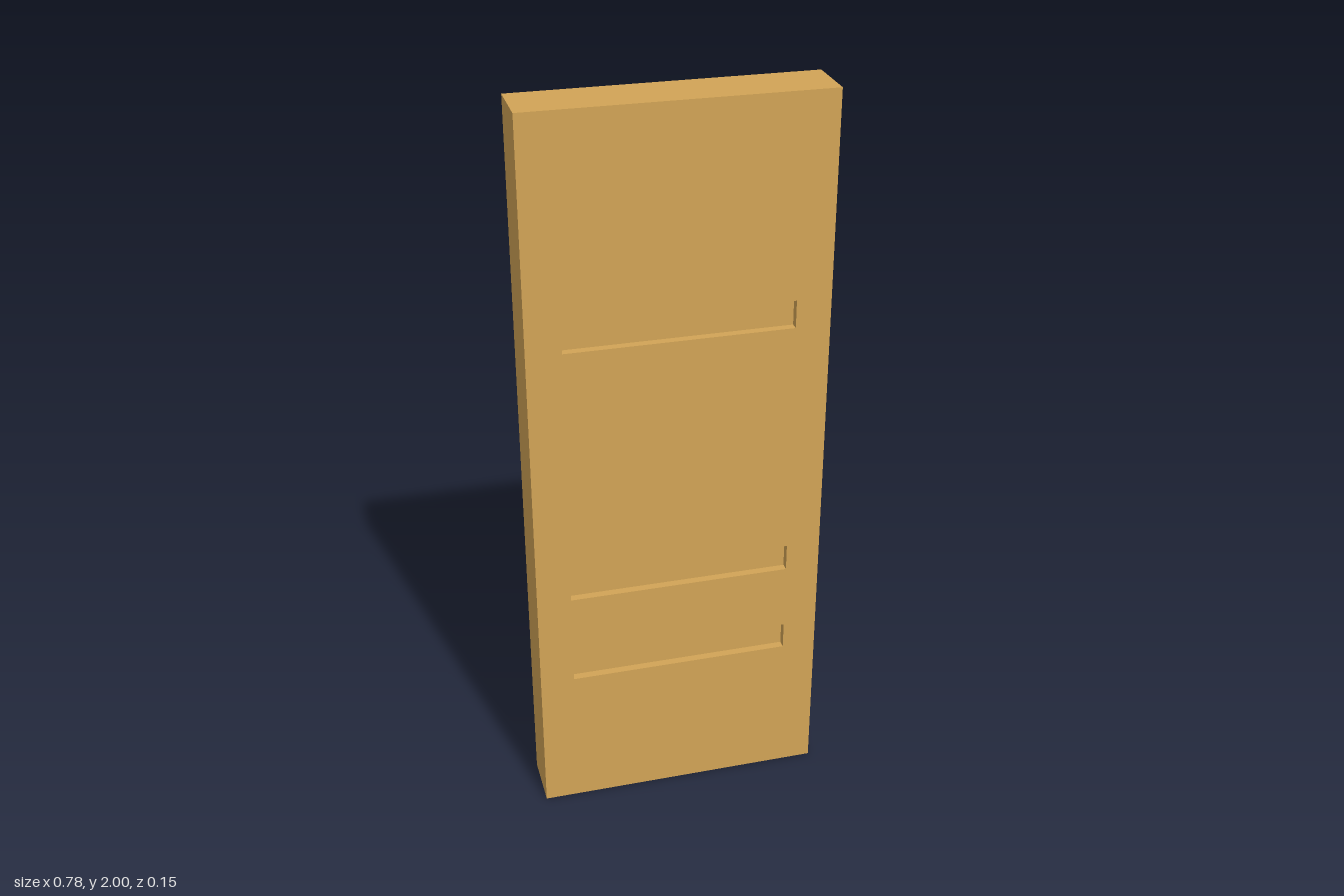
import * as THREE from 'three';

const W = 0.784, H = 2, D = 0.153;            // door leaf
const SLOT_W = 0.6, SLOT_H = 0.075;           // horizontal grooves
const SLOTS = [0.443, 0.703, 1.428];          // groove centre heights
const RECESS = { bottom: 0.1, top: 1.9, z: -0.064 };
const SLOT_DEPTH = 0.022;

const material = new THREE.MeshStandardMaterial({ color: 0xd2a456, side: THREE.DoubleSide });

// Box without the listed sides (+x, -x, +y, -y, +z, -z are 0 to 5)
function openBox(w, h, d, missing) {
  const geo = new THREE.BoxGeometry(w, h, d);
  const index = Array.from(geo.index.array);
  geo.setIndex(index.filter((_, i) => !missing.includes(Math.floor(i / 6))));
  geo.clearGroups();
  return geo;
}

// Flat sheet facing +z, with rectangular holes given as [bottom, top]
function sheet(holes) {
  const rect = (target, w, y0, y1) => {
    target.moveTo(-w / 2, y0);
    target.lineTo(w / 2, y0);
    target.lineTo(w / 2, y1);
    target.lineTo(-w / 2, y1);
    target.closePath();
    return target;
  };
  const shape = rect(new THREE.Shape(), W, 0, H);
  for (const [y0, y1] of holes) shape.holes.push(rect(new THREE.Path(), SLOT_W, y0, y1));
  return new THREE.ShapeGeometry(shape);
}

export function createModel() {
  const door = new THREE.Group();
  door.name = 'door';

  function add(name, geometry, y, z, turned = false) {
    const mesh = new THREE.Mesh(geometry, material);
    mesh.name = name;
    mesh.position.set(0, y, z);
    if (turned) mesh.rotation.y = Math.PI;
    door.add(mesh);
  }

  // Top, bottom and hinge edge; the +x edge is open
  add('edgeFrame', openBox(W, H, D, [0, 4, 5]), H / 2, 0);

  // Front skin with three slots, back skin with one large opening
  add('frontPanel', sheet(SLOTS.map(y => [y - SLOT_H / 2, y + SLOT_H / 2])), 0, D / 2);
  add('backPanel', sheet([[RECESS.bottom, RECESS.top]]), 0, -D / 2, true);

  // Rim stepping in to the recessed back panel
  const rimDepth = RECESS.z + D / 2;
  add('recessRim', openBox(SLOT_W, RECESS.top - RECESS.bottom, rimDepth, [4, 5]),
    (RECESS.top + RECESS.bottom) / 2, RECESS.z - rimDepth / 2);

  // Groove trays on both sides
  for (const y of SLOTS) {
    add('frontGroove', openBox(SLOT_W, SLOT_H, SLOT_DEPTH, [4]), y, D / 2 - SLOT_DEPTH / 2);
    add('backGroove', openBox(SLOT_W, SLOT_H, SLOT_DEPTH, [5]), y, RECESS.z + SLOT_DEPTH / 2);
  }

  // Recessed bands between the back grooves
  let start = RECESS.bottom;
  for (const y of [...SLOTS, RECESS.top + SLOT_H / 2]) {
    const end = y - SLOT_H / 2;
    add('recessedBand', new THREE.PlaneGeometry(SLOT_W, end - start), (start + end) / 2, RECESS.z, true);
    start = y + SLOT_H / 2;
  }

  return door;
}
